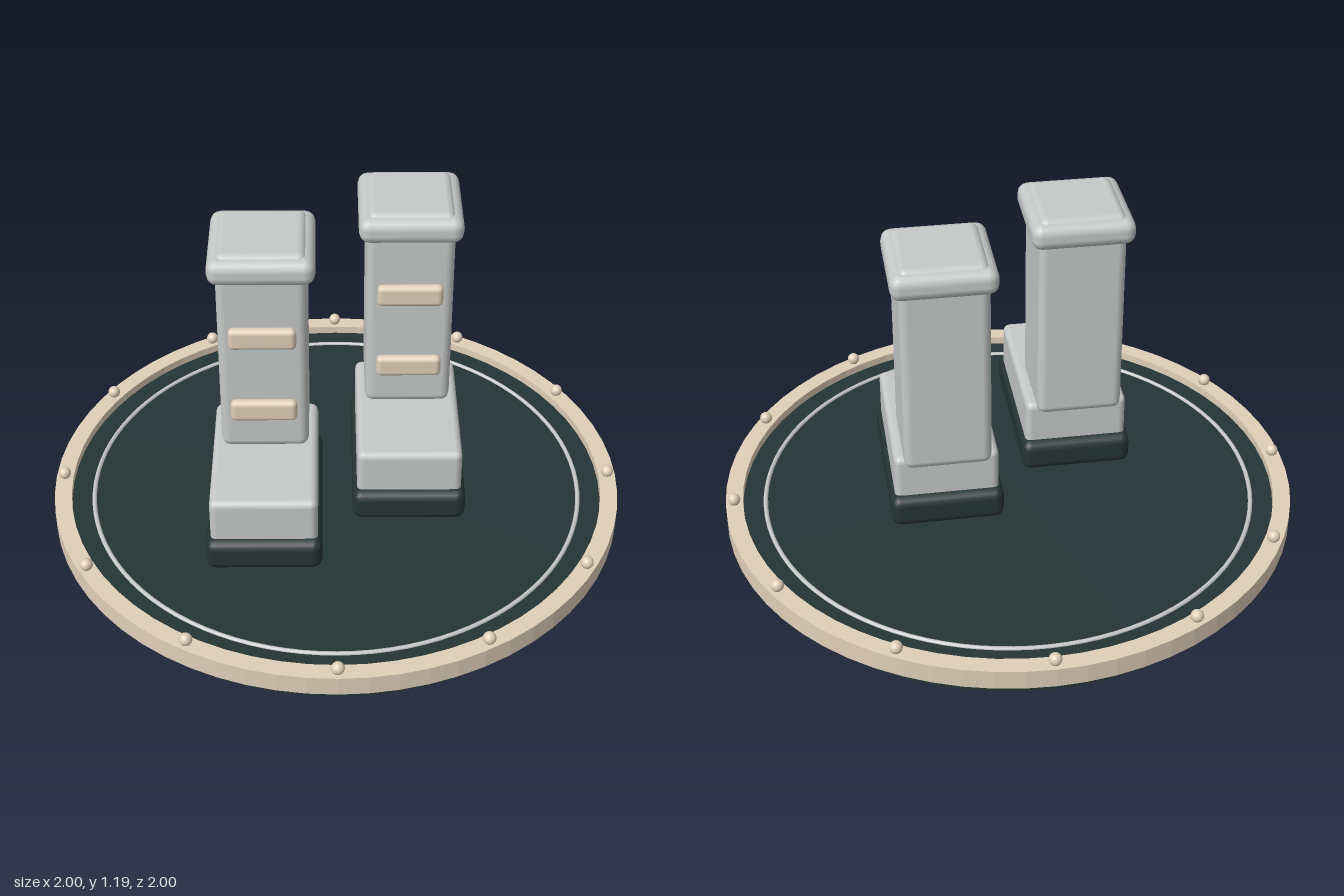
import * as THREE from 'three';
import { RoundedBoxGeometry } from 'three/addons/geometries/RoundedBoxGeometry.js';

const paint = (name, color) => {
  const m = new THREE.MeshStandardMaterial({ color });
  m.name = name;
  return m;
};

export function createModel() {
  const grey = paint('stone grey', 0xc6c9c8);
  const beige = paint('warm beige', 0xe0cfba);
  const dark = paint('dark slate teal', 0x243534);

  const model = new THREE.Group();
  model.name = 'bootsOnPlatform';

  const add = (parent, name, geometry, material, x = 0, y = 0, z = 0) => {
    const mesh = new THREE.Mesh(geometry, material);
    mesh.name = name;
    mesh.position.set(x, y, z);
    parent.add(mesh);
    return mesh;
  };

  // Round platform: sunken disc, raised rim and inlaid ring
  const platform = new THREE.Group();
  platform.name = 'platform';
  model.add(platform);
  add(platform, 'disc', new THREE.CylinderGeometry(0.953, 0.953, 0.097, 64), dark, 0, 0.0485, 0);

  const rimShape = new THREE.Shape().absarc(0, 0, 1, 0, Math.PI * 2);
  rimShape.holes.push(new THREE.Path().absarc(0, 0, 0.94, 0, Math.PI * 2, true));
  const rimGeometry = new THREE.ExtrudeGeometry(rimShape, { depth: 0.07, bevelEnabled: false, curveSegments: 32 });
  rimGeometry.rotateX(-Math.PI / 2);
  add(platform, 'rim', rimGeometry, beige, 0, 0.056, 0);

  const inlay = new THREE.TorusGeometry(0.862, 0.008, 8, 96).rotateX(Math.PI / 2);
  add(platform, 'inlayRing', inlay, grey, 0, 0.097, 0);

  // Twelve rivets around the rim
  const rivet = new THREE.SphereGeometry(0.022, 16, 12);
  for (let i = 0; i < 12; i++) {
    const a = (i * Math.PI) / 6;
    add(platform, 'rivet', rivet, beige, 0.97 * Math.sin(a), 0.143, 0.97 * Math.cos(a));
  }

  // One boot, centred on its own x, striding by z
  const makeBoot = (name, x, z) => {
    const boot = new THREE.Group();
    boot.name = name;
    boot.position.set(x, 0, z);
    model.add(boot);
    const block = (part, material, w, d, bottom, top, cz, r) =>
      add(boot, part, new RoundedBoxGeometry(w, top - bottom, d, 2, r), material, 0, (top + bottom) / 2, cz);

    block('sole', dark, 0.383, 0.618, 0.184, 0.297, 0.008, 0.032);
    block('foot', grey, 0.354, 0.554, 0.21, 0.446, 0.008, 0.024);
    block('shaft', grey, 0.293, 0.308, 0.438, 1.194, -0.173, 0.03);
    block('cuff', grey, 0.345, 0.36, 1.093, 1.182, -0.171, 0.036);
    for (const y of [0.576, 0.862]) block('strap', beige, 0.22, 0.038, y, y + 0.078, 0.003, 0.018);
  };
  makeBoot('leftBoot', 0.247, 0);
  makeBoot('rightBoot', -0.239, 0.25);

  return model;
}
